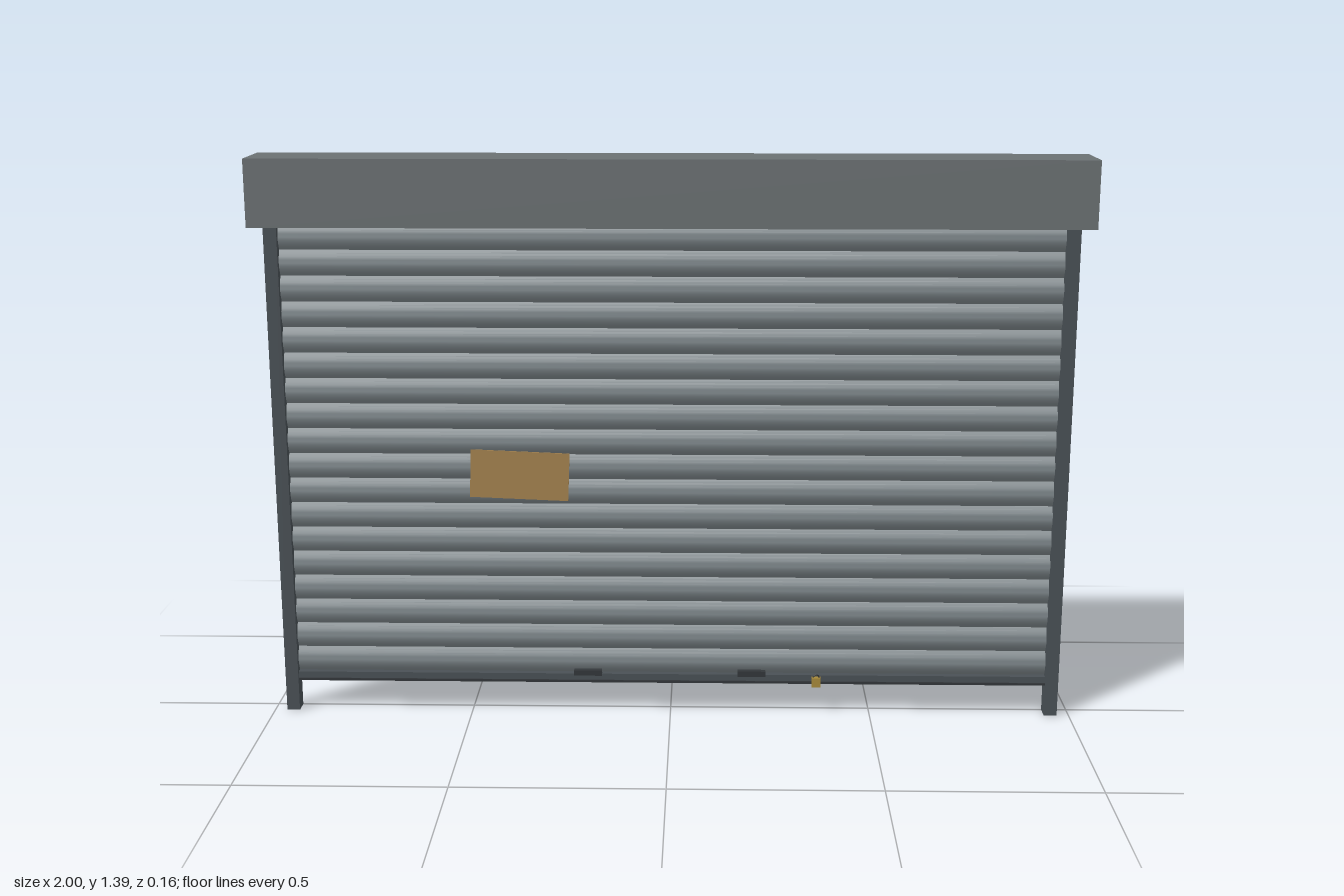
import * as THREE from 'three';
import { toCreasedNormals } from 'three/addons/utils/BufferGeometryUtils.js';

const material = (color) => new THREE.MeshStandardMaterial({ color });
const hoodMat = material(0x6b7173);
const slatMat = material(0x7d868a);
const railMat = material(0x4a5156);
const darkMat = material(0x33373a);
const cardMat = material(0xa58350);
const brassMat = material(0xa88a3a);

function add(parent, name, geometry, mat, x = 0, y = 0, z = 0) {
  const mesh = new THREE.Mesh(geometry, mat);
  mesh.name = name;
  mesh.position.set(x, y, z);
  parent.add(mesh);
  return mesh;
}

const box = (w, h, d) => new THREE.BoxGeometry(w, h, d);

// One curved slat: a thin bowed strip, its section drawn in z and y, run along x
function slatGeometry(width, height) {
  const steps = 8, front = [], back = [];
  for (let i = 0; i <= steps; i++) {
    const t = i / steps;
    const bulge = 0.012 * Math.sin(Math.PI * t);
    front.push(new THREE.Vector2(0.016 + bulge, t * height));
    back.unshift(new THREE.Vector2(0.011 + bulge * 0.8, t * height));
  }
  const geometry = new THREE.ExtrudeGeometry(new THREE.Shape([...front, ...back]), {
    depth: width, bevelEnabled: false,
  });
  geometry.translate(0, 0, -width / 2);
  geometry.rotateY(-Math.PI / 2);
  // Shape x becomes z, extrusion runs along x
  return toCreasedNormals(geometry, 0.6);
}

export function createModel() {
  const model = new THREE.Group();
  model.name = 'rollerShutter';

  // Housing for the rolled curtain
  add(model, 'hood', box(2, 0.162, 0.16), hoodMat, 0, 1.309, 0);

  // Side guide rails
  for (const [name, side] of [['leftRail', 1], ['rightRail', -1]]) {
    add(model, name, box(0.032, 1.23, 0.04), railMat, side * 0.954, 0.615, 0.02);
  }

  // Curtain of interlocking slats
  const curtain = new THREE.Group();
  curtain.name = 'curtain';
  model.add(curtain);
  const count = 18, pitch = 0.0628, bottom = 0.1;
  const slat = slatGeometry(1.89, pitch);
  for (let i = 0; i < count; i++) {
    add(curtain, 'slat', slat, slatMat, 0, bottom + i * pitch, 0);
  }

  // Bottom bar with a lower lip
  add(model, 'bottomBar', box(1.89, 0.016, 0.024), railMat, 0, 0.092, 0.02);
  add(model, 'bottomLip', box(1.89, 0.006, 0.03), darkMat, 0, 0.081, 0.02);

  // Lift handles
  for (const x of [-0.207, 0.203]) {
    add(model, 'liftHandle', box(0.07, 0.014, 0.014), darkMat, x, 0.104, 0.032);
  }

  // Padlock
  const padlock = new THREE.Group();
  padlock.name = 'padlock';
  padlock.position.set(0.365, 0.086, 0.042);
  model.add(padlock);
  add(padlock, 'lockBody', box(0.022, 0.024, 0.012), brassMat);
  add(padlock, 'shackle', new THREE.TorusGeometry(0.007, 0.002, 6, 12, Math.PI), darkMat, 0, 0.012, 0);

  // Slightly crooked card notice
  const notice = add(model, 'notice', box(0.242, 0.12, 0.003), cardMat, -0.37, 0.615, 0.0305);
  notice.rotation.z = -0.04;

  return model;
}
